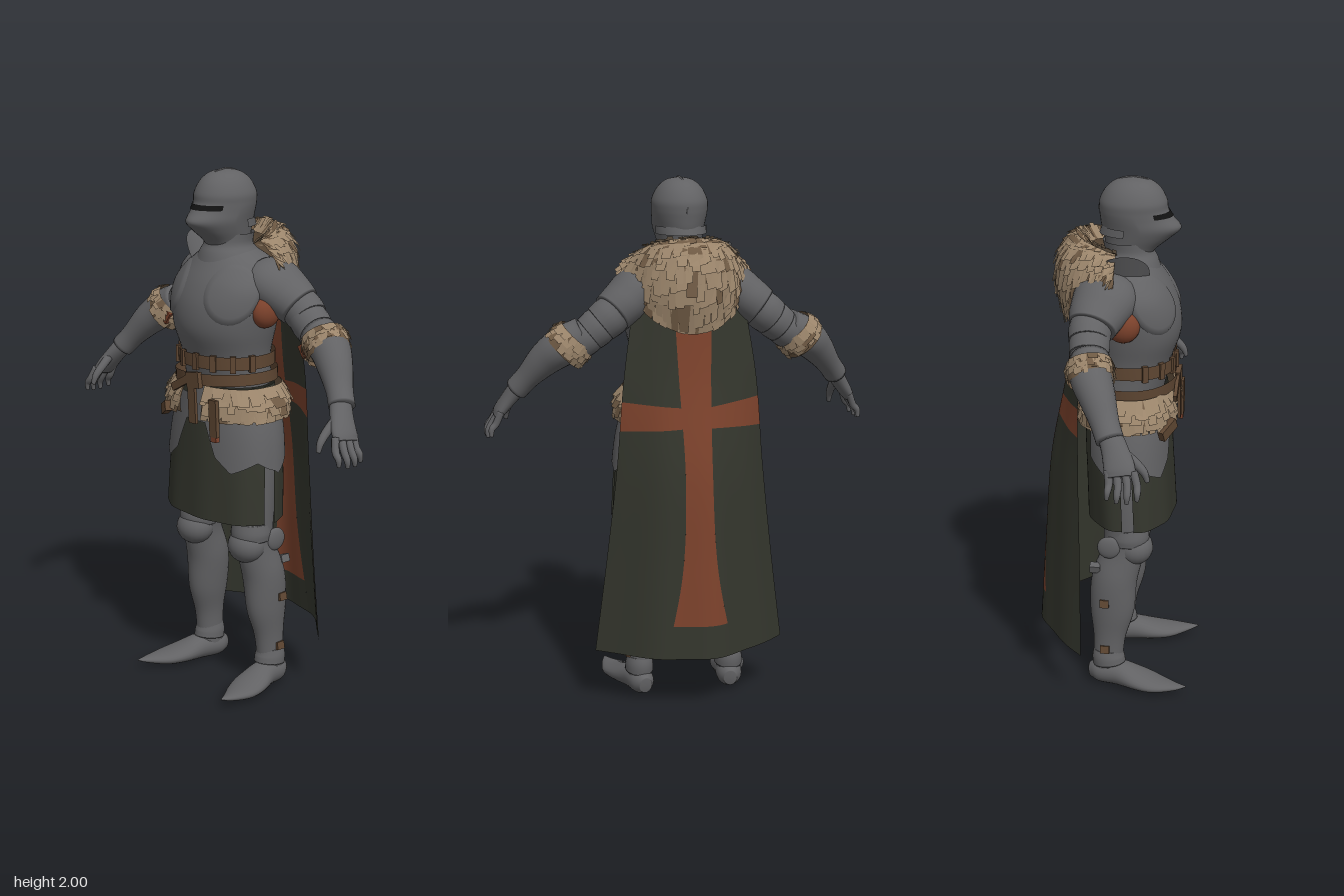
import * as THREE from 'three';
import { mergeVertices } from 'three/addons/utils/BufferGeometryUtils.js';

const { lerp, clamp } = THREE.MathUtils;
const V = (x, y, z) => new THREE.Vector3(x, y, z);
const TAU = Math.PI * 2;

const mat = (name, color) => {
  const m = new THREE.MeshStandardMaterial({ color, side: THREE.DoubleSide });
  m.name = name;
  return m;
};

// Smooth interpolation through equally spaced rows of numbers
const spline = rows => t => {
  const n = rows.length - 1, x = clamp(t, 0, 1) * n, i = Math.min(Math.floor(x), n - 1), f = x - i;
  return rows[i].map((b, k) => {
    const c = rows[i + 1][k];
    const a = i > 0 ? rows[i - 1][k] : 2 * b - c;
    const d = i + 2 <= n ? rows[i + 2][k] : 2 * c - b;
    return b + 0.5 * f * (c - a + f * (2 * a - 5 * b + 4 * c - d + f * (3 * (b - c) + d - a)));
  });
};

// Grid mesh over a surface S(u, v)
function grid(S, nu, nv) {
  const pos = [], idx = [];
  for (let j = 0; j <= nv; j++) for (let i = 0; i <= nu; i++) pos.push(...S(i / nu, j / nv).toArray());
  for (let j = 0; j < nv; j++) for (let i = 0; i < nu; i++) {
    const a = j * (nu + 1) + i, d = a + nu + 1;
    idx.push(a, a + 1, d, a + 1, d + 1, d);
  }
  let g = new THREE.BufferGeometry();
  g.setAttribute('position', new THREE.Float32BufferAttribute(pos, 3));
  g.setIndex(idx);
  g = mergeVertices(g, 1e-5);
  g.computeVertexNormals();
  return g;
}

// Mirror a surface to the other side while keeping it facing outwards
const side = (S, s) => s > 0 ? S : (u, v) => { const p = S(1 - u, v); p.x *= -1; return p; };

// Body cross-sections, rows of [y, half width, back z, front z, front sharpness]
const body = rows => {
  const f = spline(rows);
  return (a, t, k = 1) => {
    const [y, rx, zb, zf, p] = f(t), c = Math.cos(a), zc = (zb + zf) / 2, h = (zf - zb) / 2;
    return V(k * rx * Math.sin(a), y, zc + k * h * (c > 0 ? Math.pow(c, p) : c));
  };
};
const around = B => (u, v) => B(Math.PI + u * TAU, v);

// Limb along rows of [x, y, z, radius, radius], closed at both ends
function limb(rows, ref = V(0, 0, 1), caps = true) {
  const f = spline(rows);
  return (u, v) => {
    const w = caps ? clamp((v - 0.04) / 0.92, 0, 1) : v, q = f(w);
    const T = V(...f(Math.min(w + 0.01, 1))).sub(V(...f(Math.max(w - 0.01, 0)))).normalize();
    const A = ref.clone().cross(T).normalize(), B = T.clone().cross(A);
    const r = caps && (v === 0 || v === 1) ? 0 : 1, a = u * TAU;
    return V(q[0], q[1], q[2]).addScaledVector(A, r * q[3] * Math.cos(a)).addScaledVector(B, r * q[4] * Math.sin(a));
  };
}

export function createModel() {
  const root = new THREE.Group();
  root.name = 'armouredKnight';
  const steel = mat('steel', 0x626264), cloth = mat('darkCloth', 0x34362d), red = mat('rustRed', 0x7c422c);
  const fur = mat('fur', 0x9b856b), furDark = mat('furShadow', 0x6f5a44), leather = mat('leather', 0x5e4632);
  const black = mat('slit', 0x121212);
  const add = (name, geo, m) => {
    const mesh = new THREE.Mesh(geo, m);
    mesh.name = name;
    root.add(mesh);
    return mesh;
  };
  const box = (name, w, h, d, x, y, z, m, rz = 0, ry = 0) => {
    const b = add(name, new THREE.BoxGeometry(w, h, d), m);
    b.position.set(x, y, z);
    b.rotation.set(0, ry, rz);
  };
  const ball = (name, x, y, z, a, b, c, m) => {
    const g = new THREE.SphereGeometry(1, 20, 14).scale(a, b, c);
    add(name, g, m).position.set(x, y, z);
  };

  // Fur: a base surface covered in rows of overlapping flat tufts
  let seed = 7;
  const rnd = () => (seed = (seed * 16807) % 2147483647) / 2147483647;
  function furry(name, S, nu, nv, lift) {
    add(name + 'Base', grid(S, 40, 10), furDark);
    const lists = [[], []];
    for (let j = 0; j < nv; j++) for (let i = 0; i < nu; i++) {
      const u = (i + 0.5 * (j % 2) + rnd() * 0.4) / nu, v = j / nv, du = (0.5 + rnd() * 0.35) / nu;
      const v1 = Math.min(v + (1.3 + rnd() * 0.9) / nv, 1.04), e = 0.004;
      const n = S(u + e, v).sub(S(u - e, v)).cross(S(u, v + e).sub(S(u, v))).normalize();
      const h = lift * (0.6 + rnd() * 0.7);
      const p = (uu, vv, d) => S(clamp(uu, 0, 1), vv).addScaledVector(n, d).toArray();
      const a = p(u - du, v, 0.002), b = p(u + du, v, 0.002);
      const c = p(u + du * 0.75, v1, h), d = p(u - du * 0.75, v1 - 0.02 * rnd(), h);
      lists[rnd() < 0.15 ? 1 : 0].push(...a, ...b, ...c, ...a, ...c, ...d);
    }
    lists.forEach((l, k) => {
      const g = new THREE.BufferGeometry();
      g.setAttribute('position', new THREE.Float32BufferAttribute(l, 3));
      g.computeVertexNormals();
      add(name + (k ? 'DarkTufts' : 'Tufts'), g, k ? furDark : fur);
    });
  }

  // Helmet with pointed visor, eye slit and crest
  const helm = body([[1.7, 0.075, -0.03, 0.12, 1], [1.735, 0.08, -0.045, 0.15, 1.1], [1.775, 0.09, -0.05, 0.2, 1.3],
    [1.81, 0.098, -0.06, 0.235, 1.5], [1.845, 0.103, -0.065, 0.208, 1.3], [1.875, 0.105, -0.068, 0.187, 1.05],
    [1.91, 0.104, -0.066, 0.182, 1], [1.953, 0.083, -0.042, 0.158, 1], [1.982, 0.049, -0.002, 0.118, 1], [1.993, 0.001, 0.057, 0.059, 1]]);
  add('helmet', grid(around(helm), 40, 45), steel);
  add('eyeSlit', grid((u, v) => helm(lerp(-0.9, 0.9, u), lerp(0.475, 0.545, v), 1.025), 20, 4), black);
  const crest = add('helmetCrest', new THREE.TorusGeometry(0.126, 0.004, 6, 30, 2.9), steel);
  crest.position.set(0, 1.867, 0.058);
  crest.rotation.set(0, Math.PI / 2, 0);
  const gorget = body([[1.64, 0.14, -0.09, 0.165, 1], [1.69, 0.11, -0.07, 0.15, 1], [1.72, 0.092, -0.05, 0.135, 1], [1.76, 0.095, -0.055, 0.13, 1]]);
  add('gorget', grid(around(gorget), 36, 9), steel);
  add('napeLame', grid((u, v) => V(0.1 * Math.sin(lerp(1.75, 4.53, u)), 1.785 + 0.03 * v, 0.055 + (0.122 - 0.01 * v) * Math.cos(lerp(1.75, 4.53, u))), 20, 1), steel);

  // Breastplate and backplate
  const torso = body([[1.2, 0.18, -0.1, 0.18, 0.9], [1.31, 0.183, -0.1, 0.205, 0.9], [1.41, 0.205, -0.12, 0.238, 0.9],
    [1.5, 0.22, -0.13, 0.235, 0.9], [1.58, 0.215, -0.13, 0.207, 0.9], [1.65, 0.17, -0.12, 0.165, 1], [1.7, 0.1, -0.06, 0.13, 1]]);
  add('breastplate', grid(around(torso), 48, 30), steel);

  // Cloth skirt in front and rear panels, open at the sides
  const skirt = body([[0.69, 0.265, -0.11, 0.225, 0.75], [0.86, 0.258, -0.115, 0.215, 0.75], [1.03, 0.24, -0.12, 0.205, 0.8], [1.2, 0.195, -0.11, 0.19, 0.9]]);
  const wave = (a, t) => 1 + 0.015 * (1 - t) * Math.sin(a * 9);
  add('frontSkirtPanel', grid((u, v) => { const a = lerp(-1.43, 1.43, u); return skirt(a, v, wave(a, v)); }, 40, 10), cloth);
  add('rearSkirtPanel', grid((u, v) => { const a = lerp(1.6, TAU - 1.6, u); return skirt(a, v, wave(a, v)); }, 50, 10), cloth);
  add('bellyPlate', grid((u, v) => skirt(lerp(-0.26, 0.26, u), lerp(0.73, 1, v), 1.03), 12, 4), steel);

  // Lower edge of the hip plates, [angle, y]
  const edge = [[0.22, 1.06], [0.42, 0.94], [0.72, 0.885], [1.25, 0.93], [1.7, 0.88], [2.4, 0.96]];
  const edgeY = a => {
    const i = Math.max(0, edge.findIndex((e, k) => k < 5 && a <= edge[k + 1][0]));
    return lerp(edge[i][1], edge[i + 1][1], (a - edge[i][0]) / (edge[i + 1][0] - edge[i][0]));
  };

  for (const s of [1, -1]) {
    const n = s > 0 ? 'left' : 'right';
    const part = (name, S, nu, nv, m = steel) => add(n + name, grid(side(S, s), nu, nv), m);

    // Raised chest plate and red armpit lining
    part('ChestPlate', (u, v) => torso(0.84 + 0.6 * v * Math.cos(u * TAU), 0.63 - 0.24 * v * Math.sin(u * TAU), v === 1 ? 0.98 : 1.04), 32, 8);
    ball(n + 'ArmpitLining', s * 0.213, 1.49, 0.048, 0.045, 0.062, 0.062, red);

    // Hip plates
    part('HipPlate', (u, v) => {
      const a = lerp(0.22, 2.38, u);
      return skirt(a, (lerp(edgeY(a), 1.16, v) - 0.69) / 0.51, 1.04);
    }, 54, 8);

    // Shoulder and arm lames
    part('Pauldron', limb([[0.12, 1.61, -0.01, 0.07, 0.1], [0.18, 1.585, -0.02, 0.09, 0.118], [0.24, 1.54, -0.042, 0.086, 0.105], [0.285, 1.505, -0.055, 0.08, 0.088]]), 28, 24);
    for (let i = 0; i < 3; i++) {
      const x = 0.27 + i * 0.043, y = 1.515 - i * 0.036, z = -0.06 + i * 0.005, r = 0.076 - i * 0.004;
      part('ArmLame' + (i + 1), limb([[x, y, z, r - 0.004, r - 0.001], [x + 0.03, y - 0.024, z, r, r + 0.002], [x + 0.06, y - 0.048, z + 0.002, r - 0.003, r - 0.002]]), 24, 24);
    }
    part('Forearm', limb([[0.39, 1.43, -0.045, 0.068, 0.07], [0.47, 1.385, -0.03, 0.073, 0.075], [0.53, 1.335, 0, 0.064, 0.066],
      [0.59, 1.265, 0.035, 0.047, 0.052], [0.63, 1.215, 0.06, 0.045, 0.05]]), 24, 26);
    box(n + 'ElbowStrap', 0.05, 0.05, 0.02, s * 0.4, 1.375, 0.02, red, s * 0.6);
    furry(n + 'ElbowFur', side(limb([[0.415, 1.425, -0.045, 0.078, 0.078], [0.44, 1.397, -0.038, 0.089, 0.083], [0.472, 1.365, -0.03, 0.084, 0.079]], undefined, false), s), 18, 4, 0.009);

    // Gauntlet
    part('Hand', limb([[0.615, 1.235, 0.055, 0.035, 0.042], [0.65, 1.185, 0.08, 0.03, 0.048], [0.685, 1.135, 0.1, 0.024, 0.055], [0.7, 1.11, 0.105, 0.018, 0.05]]), 20, 24);
    for (let i = 0; i < 4; i++) {
      const z = 0.06 + i * 0.03, o = Math.abs(i - 1.5) * 0.008;
      part('Finger' + (i + 1), limb([[0.69, 1.13, z, 0.014, 0.015], [0.72 - o, 1.085, z * 1.1, 0.014, 0.014],
        [0.738 - o, 1.05 + o, z * 1.16 - 0.006, 0.012, 0.012], [0.74 - o, 1.022 + o, z * 1.18 - 0.01, 0.007, 0.007]]), 10, 24);
    }
    part('Thumb', limb([[0.65, 1.185, 0.105, 0.018, 0.018], [0.648, 1.145, 0.15, 0.017, 0.017], [0.65, 1.11, 0.182, 0.014, 0.014], [0.652, 1.075, 0.195, 0.008, 0.008]]), 10, 24);

    // Leg, knee and pointed boot
    part('Leg', limb([[0.13, 0.95, 0.03, 0.1, 0.1], [0.14, 0.74, 0.05, 0.085, 0.09], [0.155, 0.58, 0.045, 0.066, 0.08],
      [0.165, 0.45, 0.01, 0.073, 0.088], [0.172, 0.32, 0.002, 0.064, 0.085], [0.178, 0.2, -0.008, 0.048, 0.062], [0.18, 0.06, -0.015, 0.046, 0.056]]), 28, 40);
    ball(n + 'KneeCap', s * 0.152, 0.58, 0.085, 0.075, 0.068, 0.072, steel);
    part('KneeLame', limb([[0.152, 0.67, 0.06, 0.07, 0.075], [0.152, 0.63, 0.062, 0.076, 0.08], [0.153, 0.6, 0.062, 0.072, 0.078]]), 24, 24);
    ball(n + 'KneeWing', s * 0.215, 0.6, -0.005, 0.016, 0.045, 0.045, steel);
    box(n + 'KneeBuckle', 0.03, 0.03, 0.04, s * 0.2, 0.505, -0.06, steel, 0.3);
    for (const y of [0.37, 0.165]) box(n + 'LegStrap', 0.02, 0.03, 0.035, s * (0.225 + (y - 0.165) * 0.06), y, -0.02, leather, s * 0.2);
    part('AnkleCuff', limb([[0.18, 0.15, -0.012, 0.046, 0.056], [0.18, 0.12, -0.012, 0.053, 0.063], [0.18, 0.09, -0.008, 0.054, 0.064]]), 24, 24);
    part('Boot', limb([[0.17, 0.045, -0.085, 0.025, 0.03], [0.176, 0.05, -0.045, 0.048, 0.048], [0.19, 0.052, 0.03, 0.054, 0.05], [0.21, 0.04, 0.11, 0.068, 0.037],
      [0.23, 0.032, 0.18, 0.061, 0.026], [0.246, 0.034, 0.25, 0.03, 0.014], [0.253, 0.04, 0.3, 0.003, 0.003]], V(0, 1, 0)), 24, 36);
  }

  // Flared collar guard on the right shoulder only
  add('collarGuard', grid((u, v) => {
    const a = lerp(-2.1, -0.75, u), k = v * Math.pow(Math.sin(u * Math.PI), 0.6), r = 0.15 + 0.045 * k;
    return V(r * Math.sin(a), 1.645 + 0.1 * k, 0.02 + r * Math.cos(a));
  }, 24, 5), steel);

  // Fur mantle over the shoulders
  const back = spline([[0.1, 1.74], [0.165, 1.785], [0.225, 1.71], [0.232, 1.58], [0.19, 1.44]]);
  const flank = spline([[0.1, 1.72], [0.14, 1.735], [0.18, 1.715], [0.22, 1.685], [0.25, 1.645]]);
  furry('mantle', (u, v) => {
    const a = lerp(-1.62, 1.62, u), w = Math.pow(Math.max(0, Math.cos(a)), 0.9), b = back(v), f = flank(v);
    const r = lerp(f[0], b[0], w);
    return V(r * Math.sin(a), lerp(f[1], b[1], w), 0.005 - r * Math.cos(a));
  }, 24, 9, 0.014);

  // Fur around the hips, open at the front
  furry('hipFur', (u, v) => {
    const a = lerp(TAU - 0.24, 0.24, u), k = 1 + 0.15 * Math.sin(v * 2.2), c = Math.cos(a);
    return V(0.222 * k * Math.sin(a), 1.205 - 0.12 * v, 0.045 + 0.165 * k * Math.sign(c) * Math.pow(Math.abs(c), 0.75));
  }, 34, 4, 0.014);

  // Belts, loops and hanging straps
  const belt = (name, y0, y1, rx, zr, tilt) => {
    const h = (y1 - y0) / 2, B = body([[-h, rx, 0.05 - zr, 0.05 + zr, 0.9], [h, rx, 0.05 - zr, 0.05 + zr, 0.9]]);
    const b = add(name, grid(around(B), 40, 2), leather);
    b.position.y = (y0 + y1) / 2;
    b.rotation.z = tilt;
  };
  belt('waistBelt', 1.272, 1.322, 0.193, 0.172, 0);
  belt('swordBelt', 1.205, 1.25, 0.208, 0.178, 0.06);
  for (let i = 0; i < 7; i++) {
    const a = (i - 3) * 0.42 + 0.1;
    box('beltLoop', 0.022, 0.062, 0.016, 0.193 * Math.sin(a), 1.295, 0.05 + 0.172 * Math.pow(Math.cos(a), 0.9), leather, 0, a);
  }
  box('beltBuckle', 0.07, 0.06, 0.02, 0.02, 1.225, 0.23, leather, 0.15);
  box('centreStrap', 0.04, 0.16, 0.012, 0.015, 1.14, 0.234, leather, 0.06);
  box('slantedStrap', 0.12, 0.03, 0.014, -0.05, 1.205, 0.23, leather, 0.5);
  box('sideStrap', 0.04, 0.14, 0.016, 0.135, 1.1, 0.232, leather, 0.05);
  box('sideStrapTip', 0.03, 0.05, 0.018, 0.135, 1.035, 0.228, red, 0.05);
  box('hipPouch', 0.09, 0.04, 0.025, -0.17, 1.08, 0.21, leather, 0.4, -0.5);

  // Cape with a broad cross, rows of [half width, centre z, edge z]
  const capeRow = spline([[0.2, -0.15, -0.08], [0.255, -0.185, -0.11], [0.285, -0.25, -0.11], [0.325, -0.275, -0.1], [0.37, -0.296, -0.092]]);
  const capePoint = (u, t) => {
    const [w, zc, ze] = capeRow(t);
    return V(w * u, lerp(1.62, 0.21, t), lerp(ze, zc, Math.cos(u * Math.PI / 2)) + 0.009 * t * Math.sin(9 * u) * (1 - u * u));
  };
  const stem = spline([[0.36], [0.24], [0.18], [0.2], [0.36]]);
  const foot = 0.91;
  add('capeCrossStem', grid((p, t) => capePoint(stem(t * foot)[0] * (1 - 2 * p), t * foot), 10, 40), red);
  add('capeHem', grid((p, q) => { const t = lerp(foot, 1, q); return capePoint(stem(t)[0] * (1 - 2 * p), t); }, 10, 4), cloth);
  const barTop = p => 0.325 - 0.012 * p, barBottom = p => 0.38 + 0.012 * p;
  for (const s of [1, -1]) {
    const bands = [['capeUpper', () => 0, barTop, cloth], ['capeCrossArm', barTop, barBottom, red], ['capeLower', barBottom, () => 1, cloth]];
    for (const [name, t0, t1, m] of bands) {
      add(name, grid((p, q) => {
        const w = s > 0 ? 1 - p : p, t = lerp(t0(w), t1(w), q);
        return capePoint(s * lerp(stem(t)[0], 1, w), t);
      }, 14, 24), m);
    }
  }
  return root;
}
